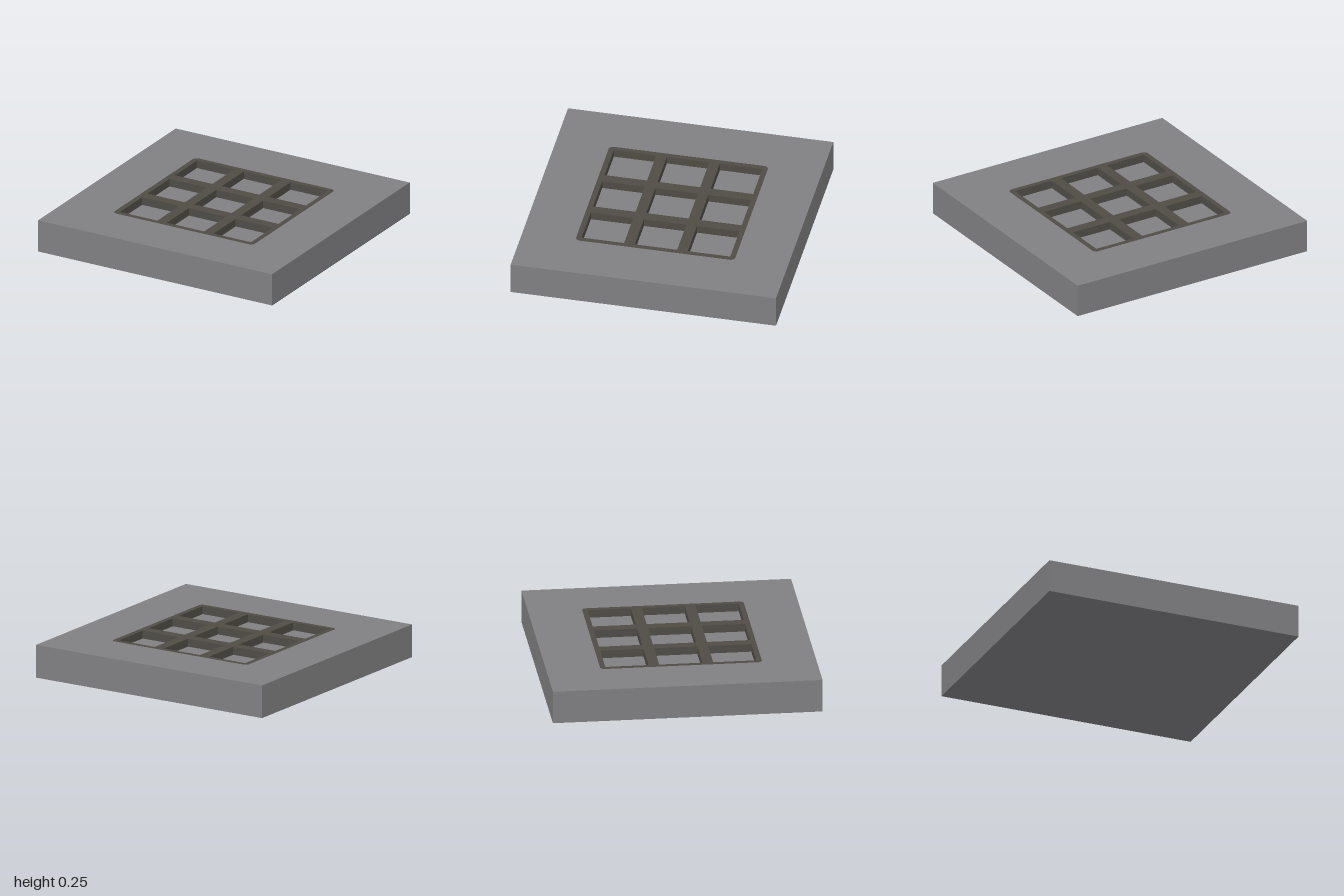
import * as THREE from 'three';

const HEIGHT = 0.25, DEPTH = 0.06, GRATE = 1.2, RADIUS = 0.035;

// Closed square outline with optional rounded corners
function square(PathType, size, radius = 0, cx = 0, cy = 0) {
  const h = size / 2, p = new PathType();
  if (!radius) {
    p.moveTo(cx - h, cy - h).lineTo(cx + h, cy - h).lineTo(cx + h, cy + h).lineTo(cx - h, cy + h);
    p.closePath();
    return p;
  }
  const k = h - radius;
  p.absarc(k, -k, radius, -Math.PI / 2, 0);
  p.absarc(k, k, radius, 0, Math.PI / 2);
  p.absarc(-k, k, radius, Math.PI / 2, Math.PI);
  p.absarc(-k, -k, radius, Math.PI, Math.PI * 1.5);
  p.closePath();
  return p;
}

export function createModel() {
  const stone = new THREE.MeshStandardMaterial({ name: 'stone grey', color: 0x808082 });
  const iron = new THREE.MeshStandardMaterial({ name: 'dark iron', color: 0x4f4c45 });
  const model = new THREE.Group();
  model.name = 'drainSlab';

  const add = (name, geometry, material, y, flat = true) => {
    const mesh = new THREE.Mesh(geometry, material);
    mesh.name = name;
    mesh.position.y = y;
    if (flat) mesh.rotation.x = -Math.PI / 2;
    model.add(mesh);
  };

  // Slab sides and underside: a box without its top face
  const box = new THREE.BoxGeometry(2, HEIGHT, 2);
  const index = Array.from(box.index.array);
  index.splice(12, 6);
  box.setIndex(index);
  box.clearGroups();
  add('slabBody', box, stone, HEIGHT / 2, false);

  // Slab top with the opening for the grate
  const top = square(THREE.Shape, 2);
  top.holes.push(square(THREE.Path, GRATE, RADIUS));
  add('slabTop', new THREE.ShapeGeometry(top, 6), stone, HEIGHT);

  // Floor of the recess, seen through the grate
  add('recessFloor', new THREE.ShapeGeometry(square(THREE.Shape, GRATE, RADIUS), 6), stone, HEIGHT - DEPTH);

  // Flush grate with three by three square openings
  const grate = square(THREE.Shape, GRATE, RADIUS);
  for (const x of [-0.4, 0, 0.4]) {
    for (const z of [-0.4, 0, 0.4]) grate.holes.push(square(THREE.Path, 0.32, 0, x, z));
  }
  const grateGeometry = new THREE.ExtrudeGeometry(grate, { depth: DEPTH, bevelEnabled: false, curveSegments: 6 });
  add('grate', grateGeometry, iron, HEIGHT - DEPTH);

  return model;
}
